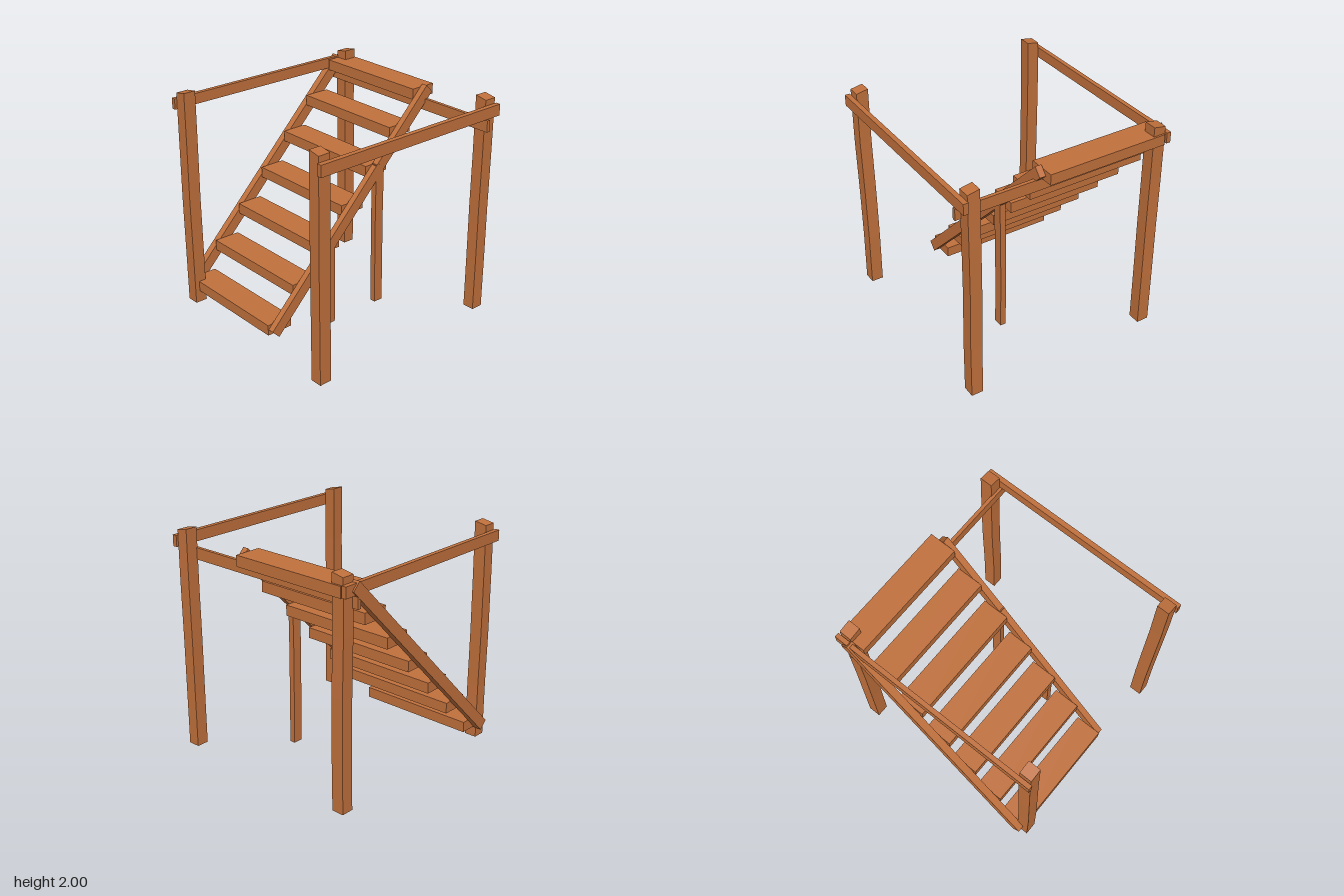
import * as THREE from 'three';

export function createModel() {
  const model = new THREE.Group();
  model.name = 'timberStair';
  const wood = new THREE.MeshStandardMaterial({ color: 0xc0703c, flatShading: true });

  // Plank given by its extents on each axis
  function plank(name, [x0, x1], [y0, y1], [z0, z1], segments = 1) {
    const geo = new THREE.BoxGeometry(x1 - x0, y1 - y0, z1 - z0, 1, segments, 1);
    geo.translate((x0 + x1) / 2, (y0 + y1) / 2, (z0 + z1) / 2);
    const mesh = new THREE.Mesh(geo, wood);
    mesh.name = name;
    model.add(mesh);
    return mesh;
  }

  // Hand-hewn wobble: shift each level slightly sideways
  function hew(mesh, amount, phase) {
    const p = mesh.geometry.attributes.position;
    for (let i = 0; i < p.count; i++) {
      const y = p.getY(i);
      p.setX(i, p.getX(i) + amount * Math.sin(y * 4 + phase));
      p.setZ(i, p.getZ(i) + amount * Math.sin(y * 3 + phase * 2));
    }
    mesh.geometry.computeVertexNormals();
  }

  // Corner posts, their tops sloping down to the outside
  for (const sx of [-1, 1]) {
    for (const sz of [-1, 1]) {
      const x = sx < 0 ? [-0.915, -0.803] : [0.81, 0.918];
      const z = sz < 0 ? [-0.955, -0.843] : [0.845, 0.957];
      const post = plank((sz > 0 ? 'front' : 'back') + (sx > 0 ? 'Left' : 'Right') + 'Post', x, [0, 2], z, 4);
      const p = post.geometry.attributes.position;
      for (let i = 0; i < p.count; i++) {
        if (p.getY(i) > 1.99 && Math.abs(p.getX(i)) > 0.86) p.setY(i, 1.98);
      }
      hew(post, 0.003, sx + sz * 0.7);
    }
  }

  // Side handrails and back crossbar
  plank('leftHandrail', [0.922, 0.966], [1.83, 1.93], [-0.972, 0.975]);
  plank('rightHandrail', [-0.96, -0.92], [1.83, 1.925], [-0.975, 0.972]);
  plank('backCrossbar', [-0.97, 0.97], [1.717, 1.82], [-0.852, -0.82]);

  // Treads
  for (let i = 0; i < 7; i++) {
    const y = 0.11 + i * 0.285;
    const z = 0.668 - i * 0.273;
    plank('tread' + (i + 1), [-0.905, 0.2], [y, y + 0.096], [z, z + 0.245]);
  }

  // Sloping stringers, square-cut at both ends
  const side = new THREE.Shape([
    [0.908, 0.165], [0.84, 0.093], [-0.905, 1.87], [-0.838, 1.94],
  ].map(([z, y]) => new THREE.Vector2(-z, y)));
  for (const [name, x0, x1] of [['rightStringer', -0.975, -0.908], ['leftStringer', 0.198, 0.255]]) {
    const geo = new THREE.ExtrudeGeometry(side, { depth: x1 - x0, bevelEnabled: false });
    geo.rotateY(Math.PI / 2).translate(x0, 0, 0);
    const mesh = new THREE.Mesh(geo, wood);
    mesh.name = name;
    model.add(mesh);
  }

  // Props under the free stringer
  hew(plank('frontProp', [0.2, 0.253], [0, 0.765], [0.217, 0.305], 2), 0.002, 1);
  hew(plank('backProp', [0.2, 0.253], [0.01, 1.355], [-0.345, -0.256], 3), 0.003, 2);

  return model;
}
